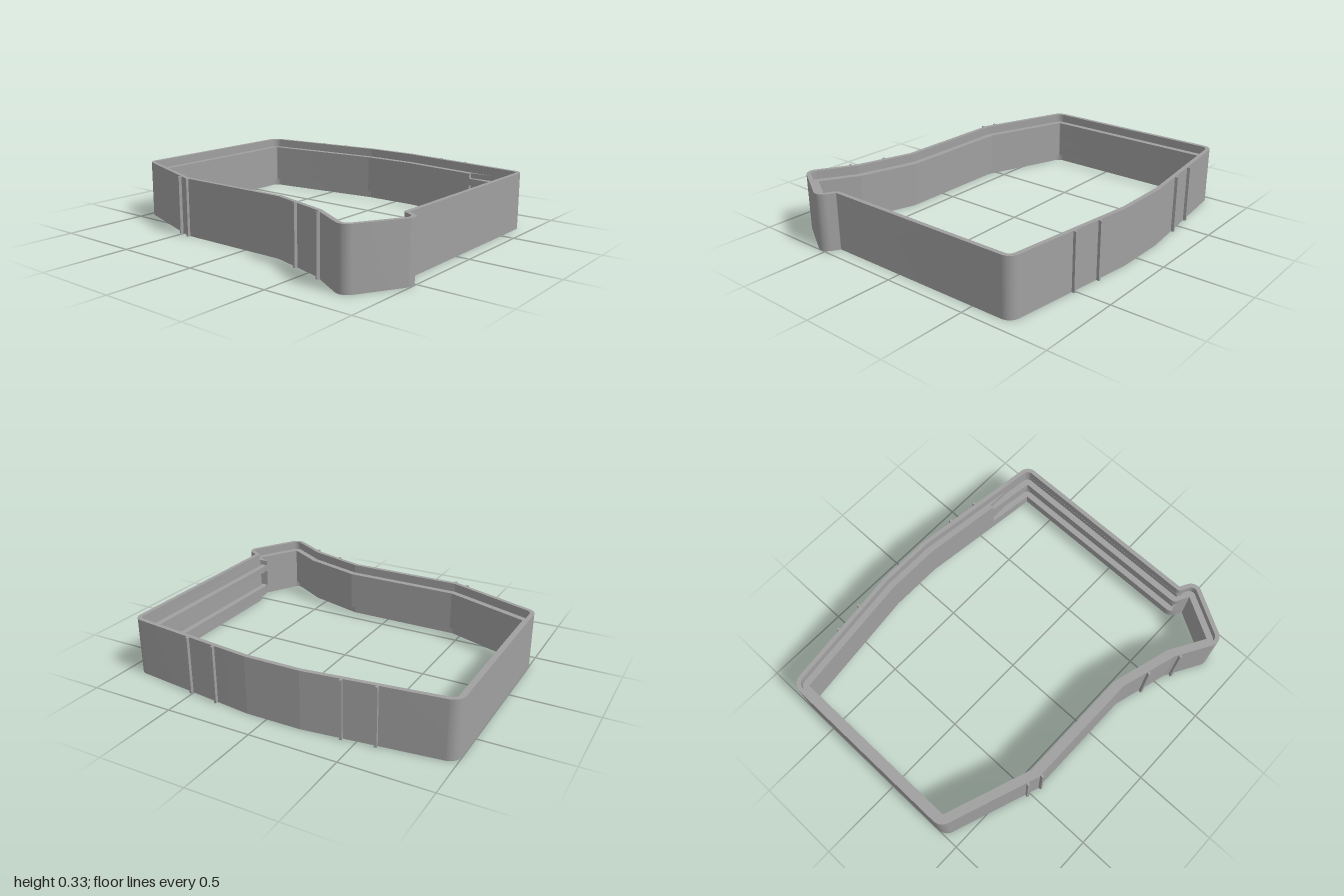
import * as THREE from 'three';
import { toCreasedNormals } from 'three/addons/utils/BufferGeometryUtils.js';

const HEIGHT = 0.33, LIP = 0.025, WALL = 0.062, STEP = 0.05;

// Outer outline in plan: x, z, corner radius
const OUTLINE = [
  [-1, -0.74, 0.07], [-0.2, -0.835, 0], [0.12, -0.835, 0], [0.925, -0.735, 0.06],
  [0.925, 0.455, 0.005], [1.022, 0.508, 0.06], [0.822, 0.852, 0.06], [0.57, 0.706, 0],
  [0.24, 0.61, 0], [-0.45, 0.61, 0], [-1, 0.41, 0.07],
].map(([x, z, r]) => ({ p: new THREE.Vector2(x, z), r }));

const direction = (a, b) => b.clone().sub(a).normalize();
const inward = (d) => new THREE.Vector2(-d.y, d.x);

// Directions of the two edges meeting at corner i
function edgesAt(corners, i) {
  const n = corners.length, p = corners[i].p;
  return [direction(corners[(i + n - 1) % n].p, p), direction(p, corners[(i + 1) % n].p)];
}

// Outline moved inwards by a distance, corner radii adjusted to match
function inset(distance) {
  return OUTLINE.map(({ p, r }, i) => {
    const [d0, d1] = edgesAt(OUTLINE, i);
    const n0 = inward(d0), n1 = inward(d1);
    const move = n0.clone().add(n1).multiplyScalar(distance / (1 + n0.dot(n1)));
    const radius = d0.cross(d1) > 0 ? r - distance : r + distance;
    return { p: p.clone().add(move), r: r > 0 ? Math.max(0, radius) : 0 };
  });
}

// Corner list to points, with true arcs on the rounded corners
function rounded(corners) {
  const points = [];
  corners.forEach(({ p, r }, i) => {
    if (r < 0.002) { points.push(p.clone()); return; }
    const [d0, d1] = edgesAt(corners, i);
    const turn = Math.atan2(d0.cross(d1), d0.dot(d1));
    const start = p.clone().addScaledVector(d0, -r * Math.tan(Math.abs(turn) / 2));
    const centre = start.clone().addScaledVector(inward(d0), r * Math.sign(turn));
    for (let k = 0; k <= 16; k++) points.push(start.clone().rotateAround(centre, turn * k / 16));
  });
  return points;
}

// Ring between two outlines, standing from y0 to y1
function ring(outer, inner, y0, y1) {
  const shape = new THREE.Shape(rounded(outer));
  shape.holes.push(new THREE.Path(rounded(inner)));
  const geometry = new THREE.ExtrudeGeometry(shape, { depth: y1 - y0, bevelEnabled: false });
  geometry.rotateX(Math.PI / 2).translate(0, y1, 0);
  return toCreasedNormals(geometry, 0.108);
}

export function createModel() {
  const group = new THREE.Group();
  const grey = new THREE.MeshStandardMaterial({ color: 0xa0a0a0 });
  grey.name = 'grey';
  const add = (name, geometry) => {
    const mesh = new THREE.Mesh(geometry, grey);
    mesh.name = name;
    group.add(mesh);
    return mesh;
  };

  // Thin full-height skin forming the lips above and below
  add('outerWall', ring(OUTLINE, inset(LIP), 0, HEIGHT));

  // Inner wall, with a shallow pocket along the left side and back left corner
  const core = inset(0.012), inner = inset(WALL), deep = inset(LIP + 0.001);
  const sharp = (x, z) => ({ p: new THREE.Vector2(x, z), r: 0 });
  const slope = (inner[3].p.y - inner[2].p.y) / (inner[3].p.x - inner[2].p.x);
  const pocket = [
    ...inner.slice(0, 3),
    sharp(0.59, inner[2].p.y + slope * (0.59 - inner[2].p.x)),
    sharp(0.59, -0.735), sharp(0.725, -0.735),
    deep[3], { p: deep[4].p, r: 0 }, sharp(0.93, 0.487),
    { p: inner[4].p, r: 0 }, ...inner.slice(5),
  ];
  [
    ['lowerInnerWall', inner, STEP, 0.11],
    ['pocketWall', pocket, 0.11, 0.21],
    ['innerRail', inner, 0.21, 0.25],
    ['upperInnerWall', pocket, 0.25, HEIGHT - STEP],
  ].forEach(([name, hole, y0, y1]) => add(name, ring(core, hole, y0, y1)));

  // Narrow vertical ribs: edge index and x position
  const ribs = [[0, -0.6], [0, -0.42], [2, 0.33], [2, 0.51],
    [6, 0.6], [7, 0.4], [8, -0.435], [9, -0.515]];
  ribs.forEach(([i, x]) => {
    const a = OUTLINE[i].p, b = OUTLINE[i + 1].p;
    const z = a.y + (b.y - a.y) * (x - a.x) / (b.x - a.x);
    const rib = add('rib', new THREE.BoxGeometry(0.014, HEIGHT, 0.034));
    rib.position.set(x, HEIGHT / 2, z);
    rib.rotation.y = -Math.atan2(b.y - a.y, b.x - a.x);
  });

  return group;
}
